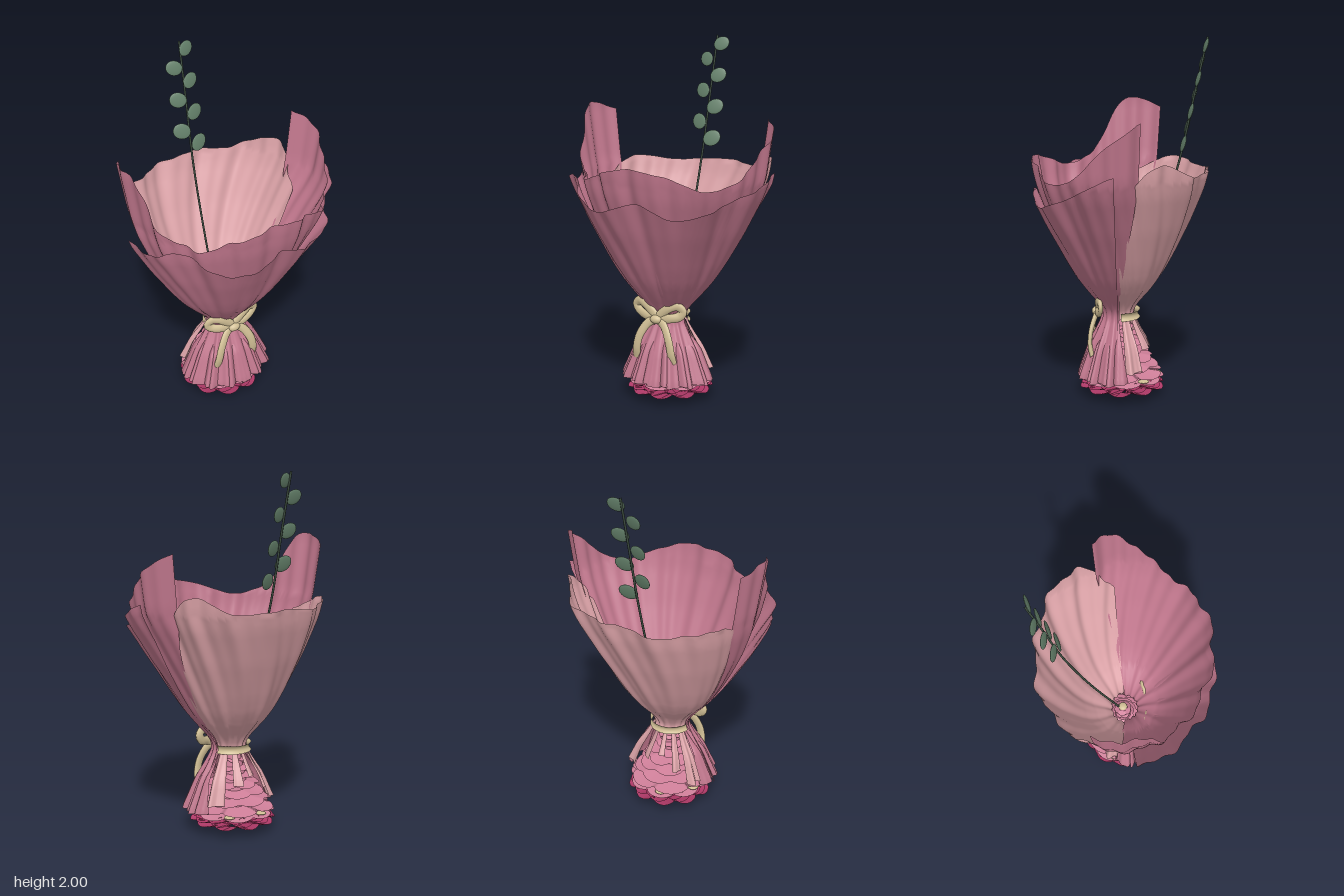
import * as THREE from 'three';
import { ParametricGeometry } from 'three/addons/geometries/ParametricGeometry.js';

const paint = (name, color, side = THREE.FrontSide) => {
  const m = new THREE.MeshStandardMaterial({ color, side });
  m.name = name;
  return m;
};

// Smoothed interpolation through [key, value] pairs
function lookup(table, k) {
  if (k <= table[0][0]) return table[0][1];
  for (let i = 1; i < table.length; i++) {
    const [k0, v0] = table[i - 1], [k1, v1] = table[i];
    if (k <= k1) return v0 + (v1 - v0) * (k - k0) / (k1 - k0);
  }
  return table[table.length - 1][1];
}
function softLookup(table, k, w) {
  let sum = 0;
  for (let i = -2; i <= 2; i++) sum += lookup(table, k + i * w);
  return sum / 5;
}

// Hourglass radius by height
const PROFILE = [[0.12, 0.265], [0.2, 0.23], [0.3, 0.19], [0.4, 0.13], [0.47, 0.095], [0.53, 0.125],
  [0.6, 0.19], [0.7, 0.27], [0.8, 0.33], [1.0, 0.435], [1.2, 0.525], [1.3, 0.555], [1.6, 0.6]];
const CX = -0.05;
const RAD = Math.PI / 180;

// A pleated sheet of paper; angle 0 is the front, +90 is the model's left.
// rim gives the height by angle, outline the radius factor by angle, waist the factor at the tie,
// fan how much the sheet narrows towards the tie.
function sheetGeometry({ from, to, bottom, rim, outline = [[0, 1]], waist = 1, fan = 0, phase }) {
  return new ParametricGeometry((u, v, p) => {
    const deg = from + (to - from) * u;
    const y = bottom + (softLookup(rim, deg, 3) - bottom) * v;
    const up = THREE.MathUtils.clamp((y - 0.47) / 0.8, 0, 1);
    const down = THREE.MathUtils.clamp((0.47 - y) / 0.35, 0, 1);
    const a = deg * RAD * (1 - fan * (1 - up) * (1 - down));
    const t = a + 0.3 * up + phase;
    const fold = up * (0.012 * Math.sin(13 * t) + 0.006 * Math.sin(29 * t + 1))
      + (down * 0.013 + 0.004) * Math.sin(15 * t) + down * 0.008 * Math.sin(26 * t + 2);
    const tie = Math.max(0, 1 - Math.abs(y - 0.47) / 0.16);
    const r = softLookup(PROFILE, y, 0.015) * (1 + (softLookup(outline, deg, 3) - 1) * up)
      * (1 + (waist - 1) * tie) + fold;
    p.set(CX * (1 - up * up) + r * (1 + 0.06 * up) * Math.sin(a), y, r * (0.88 - 0.03 * down) * Math.cos(a));
  }, 160, 44);
}

// A scalloped ring of petals
function petalRing(inner, outer, yIn, yOut, count, phase, cup) {
  return new ParametricGeometry((u, v, p) => {
    const a = u * Math.PI * 2;
    const lobe = Math.abs(Math.sin((a + phase) * count / 2));
    const r = inner + (outer * (0.86 + 0.14 * Math.sqrt(lobe)) - inner) * v;
    p.set(r * Math.sin(a), yIn + (yOut - yIn) * v + cup * v * (0.5 - lobe), r * Math.cos(a));
  }, count * 12, 6);
}

export function createModel() {
  const model = new THREE.Group();
  model.name = 'wrappedBouquet';
  const D = THREE.DoubleSide;
  const mauve = paint('mauve paper', 0xc1778d, D);
  const blush = paint('blush paper', 0xdca3a8, D);
  const petalPink = paint('pink petal', 0xd0809a, D);
  const magenta = paint('magenta petal', 0xb03a68, D);
  const cream = paint('cream ribbon', 0xd2c096, D);
  const leafGreen = paint('leaf green', 0x64806a);
  const stemGreen = paint('stem green', 0x3f4f42);

  const add = (parent, name, geo, mat, x = 0, y = 0, z = 0) => {
    const m = new THREE.Mesh(geo, mat);
    m.name = name;
    m.position.set(x, y, z);
    parent.add(m);
    return m;
  };

  // Paper wrap
  const wrap = new THREE.Group();
  wrap.name = 'paperWrap';
  model.add(wrap);
  add(wrap, 'innerFrontSheet', sheetGeometry({
    from: -115, to: 110, bottom: 0.13, waist: 0.7, fan: 0.14, phase: 0.1,
    rim: [[-115, 1.57], [-100, 1.63], [-86, 1.62], [-70, 1.32], [-45, 1.25], [-20, 1.33], [0, 1.37],
      [20, 1.34], [45, 1.25], [65, 1.3], [85, 1.47], [110, 1.6]],
    outline: [[-115, 0.98], [-95, 0.94], [-70, 0.92], [0, 0.92], [45, 0.93], [70, 0.9], [90, 0.91], [110, 0.82]],
  }), mauve);
  add(wrap, 'outerFrontSheet', sheetGeometry({
    from: -88, to: 92, bottom: 0.12, phase: 0,
    rim: [[-88, 1.25], [-75, 1.19], [-55, 1.29], [-40, 1.2], [-22, 1.1], [5, 1.2], [28, 1.1], [60, 1.2], [92, 1.34]],
    outline: [[-88, 1.08], [-75, 1.11], [-55, 1.02], [-38, 1.06], [-18, 1.18], [0, 1], [14, 1.02], [40, 1.13],
      [60, 0.96], [75, 1.02], [92, 1]],
  }), mauve);
  add(wrap, 'backSheet', sheetGeometry({
    from: 95, to: 262, bottom: 0.45, waist: 0.9, phase: 0.2,
    rim: [[95, 1.12], [112, 1.33], [126, 1.39], [150, 1.28], [180, 1.3], [205, 1.27], [235, 1.31], [262, 1.2]],
    outline: [[95, 0.8], [117, 0.84], [127, 0.9], [147, 0.98], [180, 0.98], [197, 1.04], [225, 1], [243, 0.98], [262, 0.84]],
  }), blush);
  // Narrow loose strips of paper behind the waist
  for (const [from, to, bottom] of [[106, 134, 0.18], [148, 165, 0.28], [180, 192, 0.32], [206, 220, 0.24], [228, 250, 0.16]]) {
    add(wrap, 'backStrip', sheetGeometry({ from, to, bottom, waist: 0.95, phase: 0.2, rim: [[0, 0.46]] }), blush);
  }

  // Stacked petals inside the wrap
  const flower = new THREE.Group();
  flower.name = 'flower';
  flower.position.set(-0.055, 0, -0.02);
  model.add(flower);
  for (let i = 0; i < 9; i++) {
    const y = 0.13 + i * 0.044;
    const r = Math.max(0.05, 0.23 - i * 0.027);
    add(flower, 'petalTier', petalRing(0.02, r, y + 0.025, y, 6, i * 0.55, 0.012), petalPink);
  }
  add(flower, 'flowerCore', new THREE.CylinderGeometry(0.025, 0.11, 0.4, 24), petalPink, 0, 0.31);
  const bud = add(flower, 'topBud', new THREE.SphereGeometry(0.025, 16, 10), cream, 0, 0.51);
  bud.scale.y = 0.5;

  // Wide magenta base petals
  for (let i = 0; i < 4; i++) {
    add(flower, 'basePetals', petalRing(0.02, 0.24 - i * 0.01, i * 0.015, 0.06 + i * 0.014, 10, i * 0.16, 0.018), magenta);
  }
  add(flower, 'baseTopPetals', petalRing(0.02, 0.235, 0.12, 0.102, 8, 0.2, 0.01), petalPink);
  for (let i = 0; i < 6; i++) {
    const a = i * Math.PI / 3 + 0.2;
    const dot = add(flower, 'creamPetal', new THREE.SphereGeometry(0.032, 12, 8), cream, 0.19 * Math.sin(a), 0.112, 0.19 * Math.cos(a));
    dot.scale.y = 0.2;
  }

  // Flat ribbon across the back of the waist
  const bow = new THREE.Group();
  bow.name = 'ribbonBow';
  model.add(bow);
  add(bow, 'waistBand', new ParametricGeometry((u, v, p) => {
    const a = (100 + 160 * u) * RAD, r = 0.108 + 0.012 * (2 * v - 1) ** 2;
    p.set(CX + r * Math.sin(a), 0.447 + 0.046 * v, r * Math.cos(a));
  }, 40, 6), cream);

  // Bow with knot, loops and tails
  const knot = add(bow, 'knot', new THREE.SphereGeometry(0.034, 20, 14), cream, -0.055, 0.475, 0.125);
  knot.scale.set(1.1, 0.75, 0.8);
  const ribbon = (name, pts, closed, radius) => {
    const curve = new THREE.CatmullRomCurve3(pts.map(p => new THREE.Vector3(...p)), closed);
    const mesh = add(bow, name, new THREE.TubeGeometry(curve, 40, radius, 10, closed), cream, -0.055, 0.475, 0.115);
    mesh.scale.z = 0.5;
  };
  for (const s of [-1, 1]) {
    ribbon('bowLoop', [[0, 0, 0], [s * 0.07, 0.07, 0], [s * 0.12, 0.086, -0.03],
      [s * 0.152, 0.06, -0.05], [s * 0.13, 0.028, -0.04], [s * 0.07, 0.012, 0]], true, 0.026);
    ribbon('bowTail', [[0, 0, 0], [s * 0.05, -0.025, 0.03], [s * 0.095, -0.1, 0.07],
      [s * 0.112, -0.17, 0.075], [s * 0.118, -0.225, 0.05]], false, 0.025);
  }

  // Leafy sprig
  const sprig = new THREE.Group();
  sprig.name = 'sprig';
  model.add(sprig);
  const stemCurve = new THREE.CatmullRomCurve3([[-0.055, 0.45, -0.02], [-0.045, 0.9, -0.2], [-0.04, 1.33, -0.33],
    [-0.032, 1.7, -0.41], [-0.027, 1.998, -0.475]].map(p => new THREE.Vector3(...p)));
  add(sprig, 'stem', new THREE.TubeGeometry(stemCurve, 40, 0.006, 8), stemGreen);
  for (let i = 0; i < 7; i++) {
    const y = 1.43 + i * 0.087, s = i % 2 ? -1 : 1;
    const grow = 1 - i * 0.02;
    const leaf = add(sprig, 'leaf', new THREE.SphereGeometry(0.053, 20, 12), leafGreen,
      -0.036 + s * 0.047 * grow, y, -0.33 - (y - 1.33) * 0.216);
    leaf.scale.set(grow, 0.84 * grow, 0.14);
    leaf.rotation.set(-0.25, s * 0.2, s * 0.5);
  }
  return model;
}
